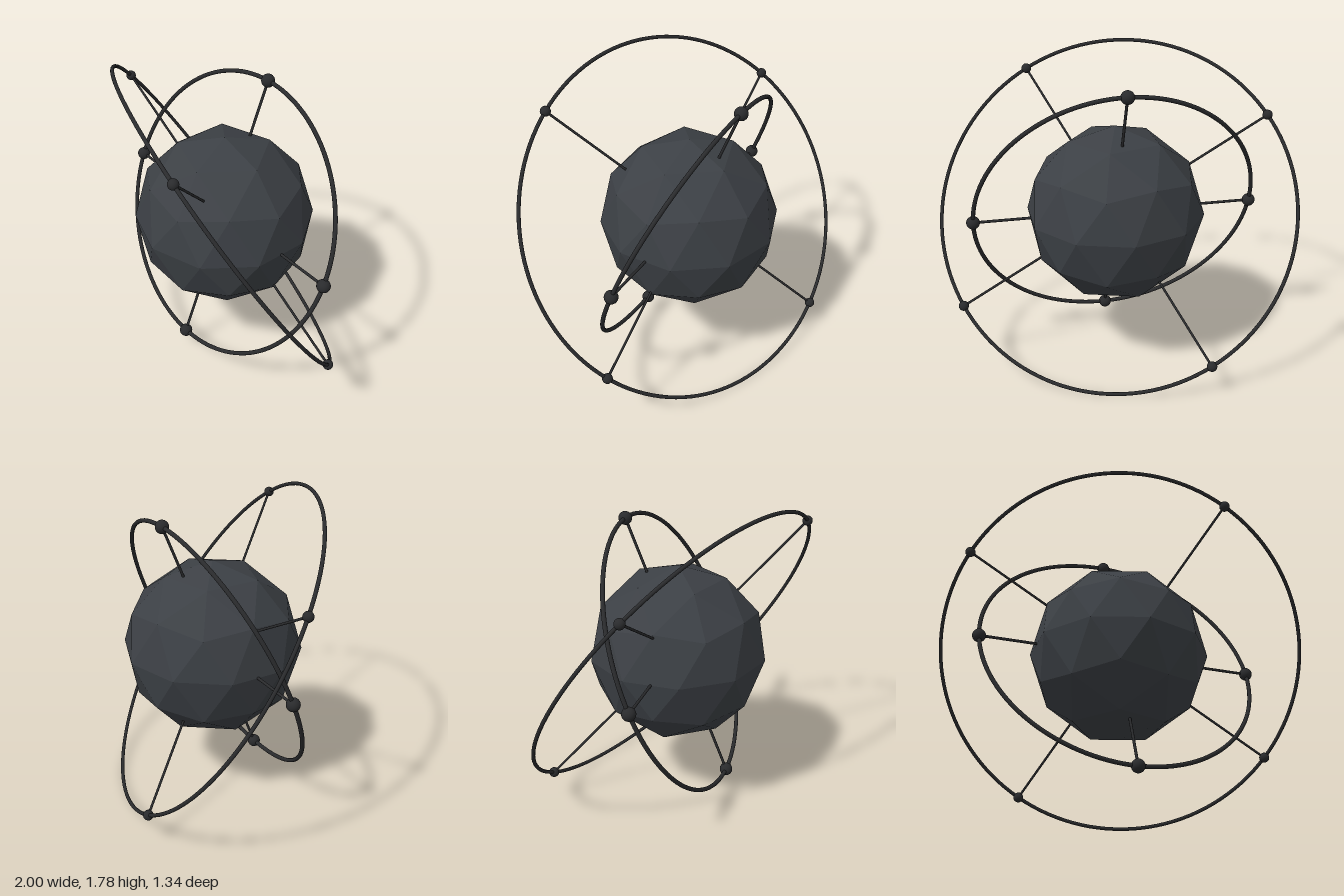
import * as THREE from 'three';

const CENTER_Y = 0.89;
const CORE_RADIUS = 0.514;
const rad = THREE.MathUtils.degToRad;

const coreMaterial = new THREE.MeshStandardMaterial({ color: 0x3c4045, flatShading: true });
const frameMaterial = new THREE.MeshStandardMaterial({ color: 0x2a2b2d });

function addMesh(parent, name, geometry, material) {
  const mesh = new THREE.Mesh(geometry, material);
  mesh.name = name;
  parent.add(mesh);
  return mesh;
}

// A ring in its own XY plane with four spokes, each ending in a ball on the ring
function createOrbit(name, radius, tube, ballRadius, spokeRadius) {
  const orbit = new THREE.Group();
  orbit.name = name;
  addMesh(orbit, 'ring', new THREE.TorusGeometry(radius, tube, 12, 128), frameMaterial);

  const start = CORE_RADIUS * 0.87; // spokes begin just inside the core
  const length = radius - start;
  for (let i = 0; i < 4; i++) {
    const arm = new THREE.Group();
    arm.name = 'arm';
    arm.rotation.z = i * Math.PI / 2;
    const spoke = new THREE.CylinderGeometry(spokeRadius, spokeRadius, length, 10);
    addMesh(arm, 'spoke', spoke, frameMaterial).position.y = start + length / 2;
    const ball = new THREE.SphereGeometry(ballRadius, 20, 14);
    addMesh(arm, 'ball', ball, frameMaterial).position.y = radius;
    orbit.add(arm);
  }
  return orbit;
}

export function createModel() {
  const model = new THREE.Group();
  model.name = 'orbitalSphere';

  const body = new THREE.Group();
  body.name = 'body';
  body.position.y = CENTER_Y;
  model.add(body);

  // Faceted core, turned so that two of its corners are the poles
  const core = new THREE.IcosahedronGeometry(CORE_RADIUS, 1);
  core.rotateZ(-Math.atan(2 / (1 + Math.sqrt(5))));
  addMesh(body, 'core', core, coreMaterial);

  // Inner ring leans back
  const inner = createOrbit('innerOrbit', 0.815, 0.012, 0.038, 0.008);
  inner.rotation.x = rad(-22);
  body.add(inner);

  // Outer ring leans forward, then tips sideways
  const outer = createOrbit('outerOrbit', 1.04, 0.0105, 0.029, 0.007);
  outer.rotation.set(rad(38), 0, rad(-30), 'ZYX');
  body.add(outer);

  return model;
}
